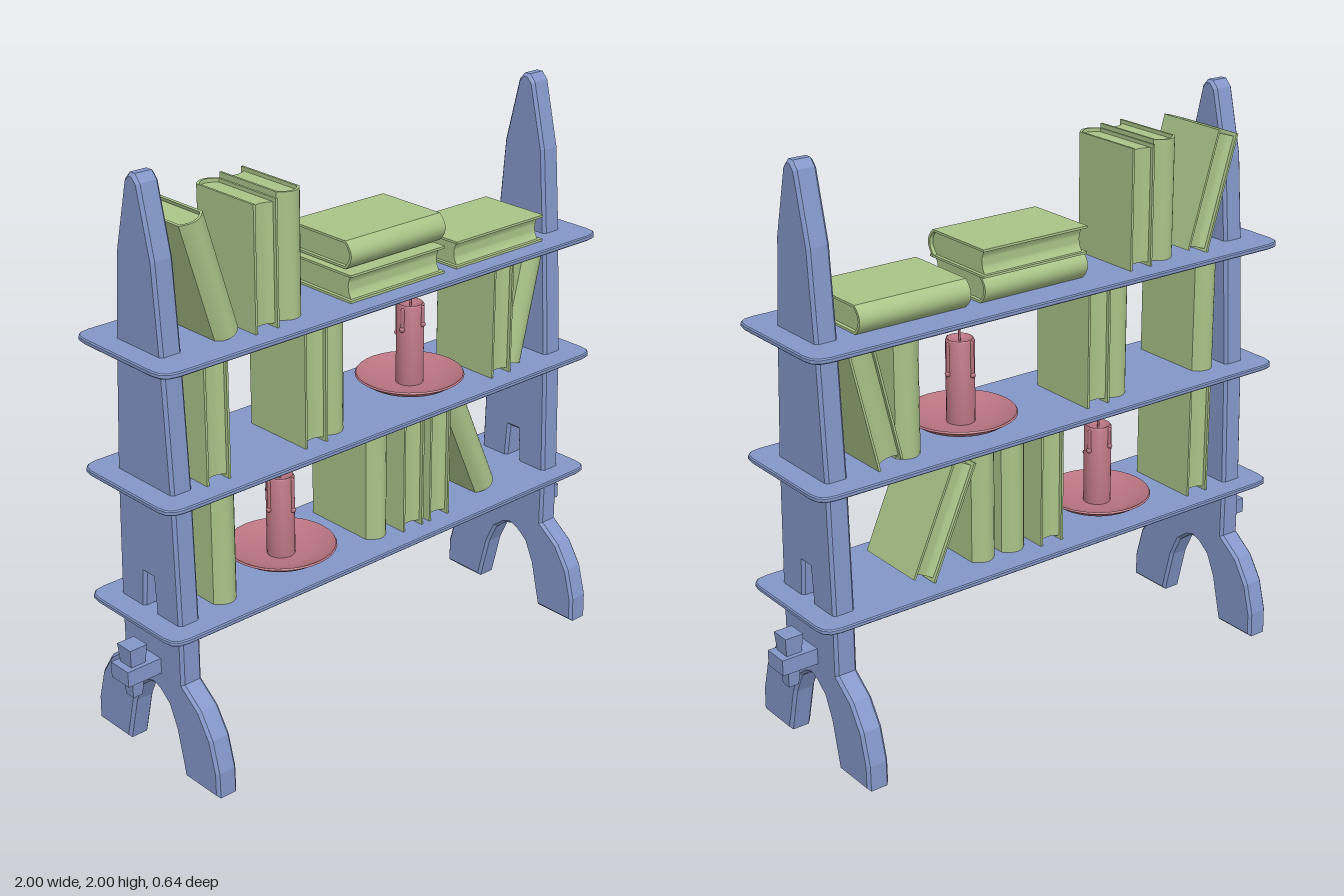
import * as THREE from 'three';
import { toCreasedNormals } from 'three/addons/utils/BufferGeometryUtils.js';

const wood = new THREE.MeshStandardMaterial({ color: 0x8296c8 });
const paper = new THREE.MeshStandardMaterial({ color: 0xa9c488 });
const wax = new THREE.MeshStandardMaterial({ color: 0xb87480, side: THREE.DoubleSide });

function add(parent, name, geometry, material, x = 0, y = 0, z = 0) {
  const mesh = new THREE.Mesh(geometry, material);
  mesh.name = name;
  mesh.position.set(x, y, z);
  parent.add(mesh);
  return mesh;
}

const bevelled = (depth, b) => ({
  depth: depth - 2 * b, bevelEnabled: b > 0, bevelThickness: b, bevelSize: b,
  bevelOffset: -b, bevelSegments: 1, curveSegments: 3,
});

// Upright board: forked foot, tapering body and a small slot above the lowest shelf
function uprightGeometry() {
  const half = [
    [0, 0.285], [0.03, 0.275], [0.075, 0.24], [0.11, 0.165], [0.15, 0], [0.322, 0], [0.32, 0.09],
    [0.29, 0.2], [0.235, 0.285], [0.155, 0.345], [0.155, 0.55], [0.142, 1], [0.115, 1.45],
    [0.09, 1.75], [0.035, 1.975], [0.012, 2],
  ];
  const points = half.map(([z, y]) => new THREE.Vector2(z, y));
  half.slice(1).reverse().forEach(([z, y]) => points.push(new THREE.Vector2(-z, y)));
  const shape = new THREE.Shape(points);
  shape.holes.push(new THREE.Path([
    [-0.03, 0.555], [-0.02, 0.68], [0.02, 0.68], [0.03, 0.555],
  ].map(([z, y]) => new THREE.Vector2(z, y))));
  const geo = new THREE.ExtrudeGeometry(shape, bevelled(0.08, 0.01));
  geo.rotateY(-Math.PI / 2);
  geo.computeBoundingBox();
  const box = geo.boundingBox;
  return geo.translate(-(box.min.x + box.max.x) / 2, 0, 0);
}

// Thin shelf board with rounded corners
function shelfGeometry() {
  const w = 0.95, d = 0.23, r = 0.06;
  const shape = new THREE.Shape();
  shape.moveTo(-w + r, -d);
  shape.lineTo(w - r, -d).quadraticCurveTo(w, -d, w, -d + r);
  shape.lineTo(w, d - r).quadraticCurveTo(w, d, w - r, d);
  shape.lineTo(-w + r, d).quadraticCurveTo(-w, d, -w, d - r);
  shape.lineTo(-w, -d + r).quadraticCurveTo(-w, -d, -w + r, -d);
  const geo = new THREE.ExtrudeGeometry(shape, bevelled(0.018, 0.004));
  geo.rotateX(-Math.PI / 2);
  return geo.center();
}

// Book cover (rounded spine towards +z) and recessed page block, both centred
function bookGeometries() {
  const t = 0.047, c = 0.008;
  const cover = new THREE.Shape();
  cover.moveTo(-t, 0.15).lineTo(-t, -0.122);
  cover.quadraticCurveTo(0, -0.178, t, -0.122);
  cover.lineTo(t, 0.15).lineTo(t - c, 0.15).lineTo(t - c, -0.118);
  cover.quadraticCurveTo(0, -0.162, -t + c, -0.118);
  cover.lineTo(-t + c, 0.15);
  const pages = new THREE.Shape();
  pages.moveTo(-t + c, 0.138).lineTo(-t + c, -0.118);
  pages.quadraticCurveTo(0, -0.162, t - c, -0.118);
  pages.lineTo(t - c, 0.138).quadraticCurveTo(0, 0.11, -t + c, 0.138);
  const solid = (shape, h) => {
    const geo = new THREE.ExtrudeGeometry(shape, { depth: h, bevelEnabled: false, curveSegments: 8 });
    geo.translate(0, 0, -h / 2).rotateX(-Math.PI / 2);
    return toCreasedNormals(geo, 0.6);
  };
  return [solid(cover, 0.415), solid(pages, 0.39)];
}

// Candle with wick and drips, standing in a shallow dish
function createCandle(x, y, turn) {
  const candle = new THREE.Group();
  candle.name = 'candle';
  candle.position.set(x, y, 0);
  candle.rotation.y = turn;
  const lathe = (pts, n) => toCreasedNormals(
    new THREE.LatheGeometry(pts.map(([r, h]) => new THREE.Vector2(r, h)), n), 0.7);
  add(candle, 'dish', lathe([
    [0, 0], [0.1, 0], [0.15, 0.015], [0.188, 0.04], [0.184, 0.046], [0.145, 0.025], [0.1, 0.012], [0, 0.012],
  ], 32), wax);
  add(candle, 'candleStick', lathe([
    [0.048, 0.01], [0.048, 0.292], [0.043, 0.3], [0.036, 0.294], [0, 0.286],
  ], 20), wax);
  const wick = new THREE.CatmullRomCurve3([
    new THREE.Vector3(0, 0.28, 0), new THREE.Vector3(0.002, 0.32, 0), new THREE.Vector3(-0.003, 0.345, 0.002),
  ]);
  add(candle, 'wick', new THREE.TubeGeometry(wick, 6, 0.004, 6), wax);
  // Drips: angle, top and length
  [[0, 0.285, 0.1], [1.3, 0.29, 0.06], [2.9, 0.285, 0.07], [4.4, 0.29, 0.11]].forEach(([a, top, len]) => {
    const px = Math.cos(a) * 0.048, pz = Math.sin(a) * 0.048;
    add(candle, 'drip', new THREE.CapsuleGeometry(0.007, len, 3, 8), wax, px, top - len / 2, pz);
    add(candle, 'dripBead', new THREE.SphereGeometry(0.01, 8, 6), wax, px * 1.04, top - len, pz * 1.04);
  });
  return candle;
}

export function createModel() {
  const model = new THREE.Group();
  model.name = 'bookshelf';

  // Uprights with tenon and wedge on each side
  const upright = uprightGeometry();
  const wedge = new THREE.CylinderGeometry(Math.SQRT1_2, Math.SQRT1_2 * 0.55, 0.185, 4, 1).toNonIndexed();
  wedge.rotateY(Math.PI / 4).scale(0.066, 1, 0.07);
  wedge.computeVertexNormals();
  for (const side of [1, -1]) {
    add(model, 'upright', upright, wood, side * 0.83);
    add(model, 'tenon', new THREE.BoxGeometry(0.14, 0.055, 0.09), wood, side * 0.93, 0.37);
    add(model, 'wedge', wedge, wood, side * 0.947, 0.37);
  }

  // Shelves
  const shelf = shelfGeometry();
  for (const y of [0.549, 1.001, 1.447]) add(model, 'shelf', shelf, wood, 0, y);

  // Books: x, y, lean angle, spine side (1 front, -1 back)
  const [cover, pages] = bookGeometries();
  const flat = Math.PI / 2;
  const books = [
    [-0.68, 1.663, 0.297, 1], [-0.497, 1.664, 0, -1], [-0.368, 1.664, 0, 1],
    [0.052, 1.504, flat, -1], [0.073, 1.602, flat, 1], [0.522, 1.504, flat, -1],
    [-0.702, 1.218, 0, -1], [-0.302, 1.218, 0, -1], [-0.192, 1.218, 0, 1],
    [0.546, 1.218, 0, -1], [0.692, 1.222, -0.236, 1],
    [-0.655, 0.766, 0, 1], [0.003, 0.766, 0, 1], [0.133, 0.766, 0, -1],
    [0.256, 0.766, 0, -1], [0.443, 0.767, 0.415, 1],
  ];
  for (const [x, y, lean, spine] of books) {
    const book = new THREE.Group();
    book.name = 'book';
    book.position.set(x, y, -0.01 * spine);
    book.rotation.z = lean;
    for (const [name, geo] of [['bookCover', cover], ['bookPages', pages]]) {
      add(book, name, geo, paper).rotation.y = spine > 0 ? 0 : Math.PI;
    }
    model.add(book);
  }

  // Candles
  model.add(createCandle(0.26, 1.01, 0), createCandle(-0.325, 0.558, Math.PI));
  return model;
}
